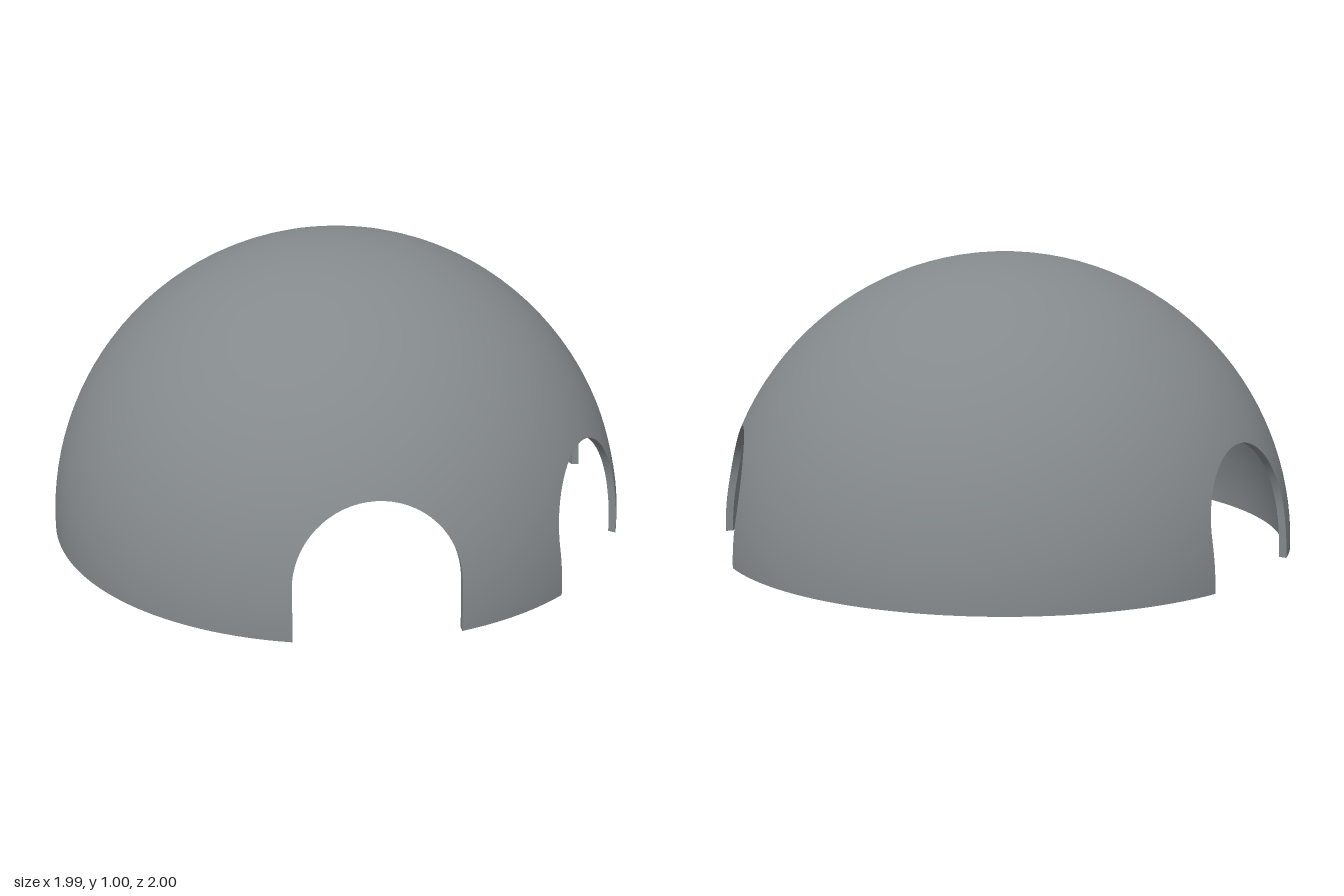
import * as THREE from 'three';
import { toCreasedNormals } from 'three/addons/utils/BufferGeometryUtils.js';

const OUTER = 1, INNER = 0.975;            // shell radii
const HALF_WIDTH = 0.258, SPRING = 0.162;  // arch half width and height of its straight jambs
const OPENINGS = [10.4, 63.6, 98.6, 230.2]; // azimuths of the doorways, degrees from +z towards +x
const RING = 34, FLARE = 17.4, SHOULDER = 16; // latitude above the arches, and how columns spread there
const EDGE_ROWS = 12, CAP_ROWS = 18;
const deg = THREE.MathUtils.radToDeg, rad = THREE.MathUtils.degToRad, lerp = THREE.MathUtils.lerp;

// Each column runs from the lower edge to the pole: start(R) gives its [azimuth, latitude], top its azimuth on the ring
function makeColumns() {
  const columns = [];
  const archColumn = (centre, u, y, offset) => columns.push({
    start: (R) => [centre + deg(Math.atan2(u, Math.sqrt(R * R - u * u - y * y))), deg(Math.asin(y / R))],
    top: centre + offset,
  });
  OPENINGS.forEach((centre, k) => {
    const jambs = 6, arcs = 32;
    for (let i = 0; i < jambs; i++) {
      archColumn(centre, -HALF_WIDTH, SPRING * i / jambs, -lerp(FLARE, SHOULDER, i / jambs));
    }
    for (let i = 0; i <= arcs; i++) {
      const t = Math.PI * i / arcs;
      archColumn(centre, -HALF_WIDTH * Math.cos(t), SPRING + HALF_WIDTH * Math.sin(t), SHOULDER * (2 * i / arcs - 1));
    }
    for (let i = jambs - 1; i >= 0; i--) {
      archColumn(centre, HALF_WIDTH, SPRING * i / jambs, lerp(FLARE, SHOULDER, i / jambs));
    }
    // Wall standing on the ground up to the next doorway
    const next = k + 1 < OPENINGS.length ? OPENINGS[k + 1] : OPENINGS[0] + 360;
    const steps = Math.max(2, Math.ceil((next - centre - 30) / 2.5));
    for (let i = 1; i < steps; i++) {
      const f = i / steps;
      columns.push({
        start: (R) => {
          const half = deg(Math.asin(HALF_WIDTH / R));
          return [lerp(centre + half, next - half, f), 0];
        },
        top: lerp(centre + FLARE, next - FLARE, f),
      });
    }
  });
  return columns;
}

const onSphere = (R, az, lat) => new THREE.Vector3(
  R * Math.cos(rad(lat)) * Math.sin(rad(az)), R * Math.sin(rad(lat)), R * Math.cos(rad(lat)) * Math.cos(rad(az)));

// Spherical skin with exact normals; side is 1 facing out, -1 facing in
function skin(columns, R, side) {
  const pos = [], nor = [], index = [], rows = EDGE_ROWS + CAP_ROWS, n = columns.length;
  for (const { start, top } of columns) {
    const [az, lat] = start(R);
    for (let j = 0; j <= rows; j++) {
      const f = Math.min(1, j / EDGE_ROWS), g = Math.max(0, (j - EDGE_ROWS) / CAP_ROWS);
      const p = onSphere(R, lerp(az, top, f), lerp(lerp(lat, RING, f), 90, g));
      pos.push(p.x, p.y, p.z);
      p.multiplyScalar(side / R);
      nor.push(p.x, p.y, p.z);
    }
  }
  for (let i = 0; i < n; i++) {
    for (let j = 0; j < rows; j++) {
      const a = i * (rows + 1) + j, b = ((i + 1) % n) * (rows + 1) + j;
      if (side > 0) index.push(a, b, b + 1, a, b + 1, a + 1);
      else index.push(a, b + 1, b, a, a + 1, b + 1);
    }
  }
  const geometry = new THREE.BufferGeometry();
  geometry.setAttribute('position', new THREE.Float32BufferAttribute(pos, 3));
  geometry.setAttribute('normal', new THREE.Float32BufferAttribute(nor, 3));
  geometry.setIndex(index);
  return geometry;
}

// Thickness of the shell along the ground and around the doorways
function rim(columns) {
  const pos = [], index = [], n = columns.length;
  columns.forEach(({ start }, i) => {
    for (const R of [OUTER, INNER]) pos.push(...onSphere(R, ...start(R)).toArray());
    const a = 2 * i, b = 2 * ((i + 1) % n);
    index.push(a, a + 1, b + 1, a, b + 1, b);
  });
  const geometry = new THREE.BufferGeometry();
  geometry.setAttribute('position', new THREE.Float32BufferAttribute(pos, 3));
  geometry.setIndex(index);
  return toCreasedNormals(geometry, rad(30));
}

export function createModel() {
  const model = new THREE.Group();
  model.name = 'dome';
  const grey = new THREE.MeshStandardMaterial({ color: 0x84898b });
  grey.name = 'grey';
  const columns = makeColumns();
  const add = (name, geometry) => {
    const mesh = new THREE.Mesh(geometry, grey);
    mesh.name = name;
    model.add(mesh);
  };
  add('outerShell', skin(columns, OUTER, 1));
  add('innerShell', skin(columns, INNER, -1));
  add('doorwayRim', rim(columns));
  return model;
}
